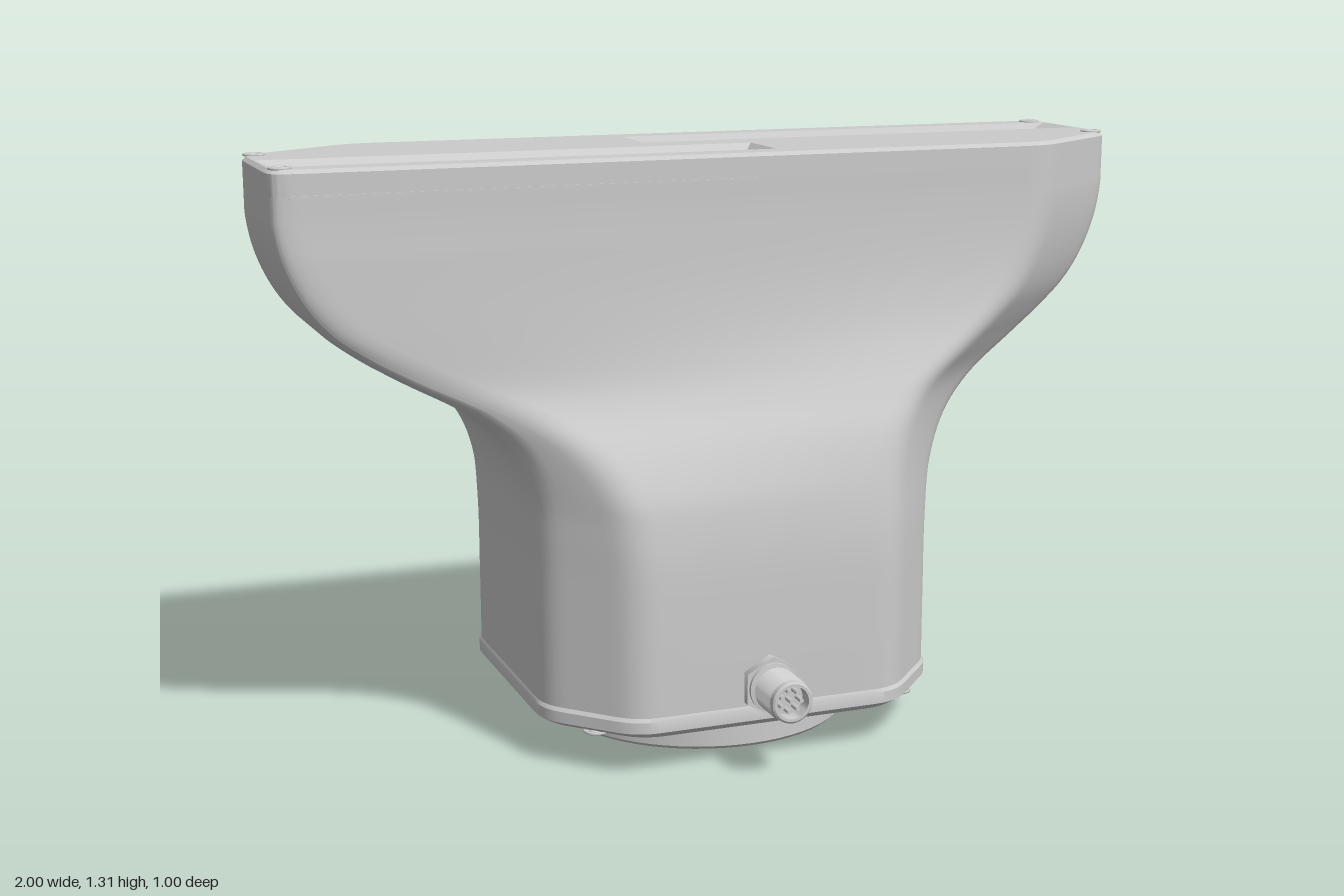
import * as THREE from 'three';
import { toCreasedNormals } from 'three/addons/utils/BufferGeometryUtils.js';

const CZ = -0.065; // the housing has half-turn symmetry about the axis x = 0, z = CZ
const mat = new THREE.MeshStandardMaterial({ color: 0xcccccc });
const thin = new THREE.MeshStandardMaterial({ color: 0xcccccc, side: THREE.DoubleSide });
const V2 = (x, z) => new THREE.Vector2(x, z);

function add(parent, name, geometry, x = 0, y = 0, z = 0, material = mat) {
  const m = new THREE.Mesh(geometry, material);
  m.name = name;
  m.position.set(x, y, z);
  parent.add(m);
  return m;
}

// Skin through rings of {y, pts}, each ring anticlockwise seen from above
function loft(rings, crease) {
  const n = rings[0].pts.length, pos = [], idx = [];
  rings.forEach(r => r.pts.forEach(p => pos.push(p.x, r.y, p.y)));
  for (let i = 0; i < rings.length - 1; i++)
    for (let j = 0; j < n; j++) {
      const a = i * n + j, b = i * n + (j + 1) % n;
      idx.push(a, b, a + n, b, b + n, a + n);
    }
  const g = new THREE.BufferGeometry();
  g.setAttribute('position', new THREE.Float32BufferAttribute(pos, 3));
  g.setIndex(idx);
  g.computeVertexNormals();
  return crease ? toCreasedNormals(g, crease) : g;
}

// Flat horizontal face with optional holes, facing up or down
function flatFace(pts, holes, up) {
  const k = up ? -1 : 1, flip = a => a.map(p => V2(p.x, p.y * k));
  const s = new THREE.Shape(flip(pts));
  holes.forEach(h => s.holes.push(new THREE.Path(flip(h))));
  return new THREE.ShapeGeometry(s).rotateX(k * Math.PI / 2);
}

const circle = (r, n) => Array.from({ length: n }, (_, i) => {
  const a = -i / n * Math.PI * 2;
  return V2(Math.cos(a) * r, CZ + Math.sin(a) * r);
});
const rect = (x0, x1, z0, z1) => [V2(x0, z1), V2(x1, z1), V2(x1, z0), V2(x0, z0)];
const inset = (pts, d) => pts.map(p => V2(p.x - Math.sign(p.x) * Math.min(d, Math.abs(p.x)),
  p.y - Math.sign(p.y - CZ) * Math.min(d, Math.abs(p.y - CZ))));

// Eight-cornered section with rounded corners, from the square neck to the wide head
function section(hx, hz) {
  const t = THREE.MathUtils.clamp((hx - 0.46) / 0.54, 0, 1), mix = THREE.MathUtils.lerp;
  const fast = 1 - (1 - t) ** 5;
  const half = [
    V2(-mix(0.3, 0.975, t), Math.min(hz, mix(0.435, 0.265, fast))),
    V2(mix(0.3, 0.74, t ** 1.2), hz),
    V2(hx, mix(0.265, 0.085, 1 - (1 - t) ** 1.6)),
    V2(hx, -mix(0.265, 0.24, t)),
  ];
  const c = [...half, ...half.map(p => V2(-p.x, -p.y))], out = [];
  const cut = (p, q) => p.clone().lerp(q, Math.min(0.4, 0.05 / p.distanceTo(q)));
  c.forEach((p, i) => {
    const prev = c[(i + 7) % 8], next = c[(i + 1) % 8];
    const end = cut(p, next), start = cut(next, p);
    out.push(...new THREE.QuadraticBezierCurve(cut(p, prev), p, end).getPoints(5));
    for (let k = 1; k < 7; k++) out.push(end.clone().lerp(start, k / 7));
  });
  return out.map(p => V2(p.x, p.y + CZ));
}

function screw(parent, name, x, y, z, r, dir) {
  const g = new THREE.Group();
  g.name = name;
  const prof = [[0, -0.3], [0.45, -0.3], [0.5, 0.25], [0.85, 0.25], [1, 0]];
  add(g, 'screwHead', new THREE.LatheGeometry(prof.map(p => V2(p[0] * r, p[1] * r * 0.6)), 16), 0, 0, 0, thin);
  add(g, 'screwRim', new THREE.TorusGeometry(r, r * 0.12, 6, 20).rotateX(Math.PI / 2));
  g.position.set(x, y, z);
  if (dir < 0) g.rotation.x = Math.PI;
  parent.add(g);
}

export function createModel() {
  const model = new THREE.Group();
  model.name = 'sensorHousing';

  // Housing shell: half width, height, half depth
  const profile = [
    [0.46, 0.13, 0.435], [0.46, 0.3, 0.435], [0.462, 0.48, 0.431], [0.475, 0.6, 0.415],
    [0.52, 0.7, 0.39], [0.6, 0.775, 0.357], [0.74, 0.855, 0.322], [0.83, 0.91, 0.301],
    [0.9, 0.965, 0.286], [0.95, 1.03, 0.274], [0.985, 1.11, 0.266], [1, 1.19, 0.263], [1, 1.25, 0.263],
  ];
  const curve = new THREE.CatmullRomCurve3(profile.map(p => new THREE.Vector3(...p)), false, 'centripetal');
  add(model, 'shell', loft(curve.getPoints(72).map(p => ({ y: p.y, pts: section(Math.min(p.x, 1), p.z) }))));

  // Lid with two long recessed slots
  const top = section(1, 0.263), rim = inset(top, 0.008), H = 1.305;
  add(model, 'lidEdge', loft([{ y: 1.25, pts: top }, { y: H - 0.008, pts: top }, { y: H, pts: rim }], 0.6));
  const turn = pts => pts.map(p => V2(-p.x, 2 * CZ - p.y));
  const mouth = rect(-0.988, 0.11, -0.02, 0.13), win = rect(-0.88, 0.06, 0.03, 0.095);
  add(model, 'lidTop', flatFace(rim, [mouth, turn(mouth)], true), 0, H, 0);
  [p => p, turn].forEach((f, i) => {
    const slot = new THREE.Group();
    slot.name = i ? 'rearSlot' : 'frontSlot';
    add(slot, 'slotSlope', loft([{ y: H, pts: f(mouth) }, { y: 1.255, pts: f(win) }], 0.2));
    add(slot, 'slotWall', loft([{ y: 1.255, pts: f(win) }, { y: 1.235, pts: f(win) }], 0.2));
    add(slot, 'slotWindow', flatFace(f(win), [], true), 0, 1.235, 0);
    model.add(slot);
    // Seam strips below the lid
    const s = i ? -1 : 1;
    add(model, 'lidSeam', new THREE.BoxGeometry(1, 0.006, 0.006), -0.46 * s, 1.25, CZ + 0.263 * s);
  });
  [[-0.97, 0.16], [0.965, 0.003], [0.965, -0.292], [-0.97, -0.137]]
    .forEach(([x, z]) => screw(model, 'lidScrew', x, H + 0.001, z, 0.022, 1));

  // Base plate with bevelled lower edge
  const foot = section(0.46, 0.435), plate = inset(foot, -0.004);
  const under = inset(foot, 0.014);
  add(model, 'basePlate', loft([{ y: 0.085, pts: under }, { y: 0.1, pts: plate },
    { y: 0.125, pts: plate }, { y: 0.133, pts: foot }], 0.5));
  add(model, 'baseUnderside', flatFace(under, [circle(0.275, 48)], false), 0, 0.085, 0);
  [[1, 1], [1, -1], [-1, 1], [-1, -1]]
    .forEach(([a, b]) => screw(model, 'baseScrew', 0.36 * a, 0.084, CZ + 0.33 * b, 0.026, -1));

  // Round mounting flange around an open bore
  const flange = [[0, 0.32], [0.2, 0.32], [0.275, 0.27], [0.275, 0.012], [0.285, 0],
    [0.332, 0], [0.34, 0.008], [0.34, 0.09]].map(p => V2(...p));
  add(model, 'mountingFlange', toCreasedNormals(new THREE.LatheGeometry(flange, 64), 0.5), 0, 0, CZ, thin);
  for (let i = 0; i < 8; i++) {
    const a = (i + 0.5) * Math.PI / 4;
    screw(model, 'flangeHole', Math.cos(a) * 0.309, -0.001 + 0.002, CZ + Math.sin(a) * 0.309, 0.013, -1);
    // Side sockets on the diagonals
    if (i % 2) continue;
    const b = (i + 1) * Math.PI / 4;
    const socket = add(model, 'flangeSocket', new THREE.TorusGeometry(0.018, 0.004, 8, 20),
      Math.cos(b) * 0.339, 0.042, CZ + Math.sin(b) * 0.339);
    socket.rotation.y = Math.PI / 2 - b;
  }

  // Threaded round connector with hexagonal nut and pins
  const plug = new THREE.Group();
  plug.name = 'connector';
  plug.position.set(0, 0.177, 0.365);
  model.add(plug);
  add(plug, 'nut', new THREE.CylinderGeometry(0.068, 0.068, 0.025, 6).rotateX(Math.PI / 2), 0, 0, 0.012);
  const barrel = [[0.055, 0.02], [0.055, 0.032], [0.042, 0.034]];
  for (let i = 0; i < 6; i++) barrel.push([0.049, 0.042 + i * 0.013], [0.042, 0.0485 + i * 0.013]);
  barrel.push([0.046, 0.118], [0.046, 0.132], [0.042, 0.135], [0.036, 0.135], [0.036, 0.1], [0, 0.1]);
  add(plug, 'threadedBarrel', toCreasedNormals(
    new THREE.LatheGeometry(barrel.map(p => V2(...p)), 32).rotateX(Math.PI / 2), 0.5), 0, 0, 0, thin);
  for (let i = 0; i < 8; i++) {
    const a = i * Math.PI * 2 / 7, r = i < 7 ? 0.023 : 0;
    add(plug, 'pin', new THREE.CylinderGeometry(0.005, 0.005, 0.03, 10).rotateX(Math.PI / 2),
      Math.cos(a) * r, Math.sin(a) * r, 0.112);
  }
  return model;
}
